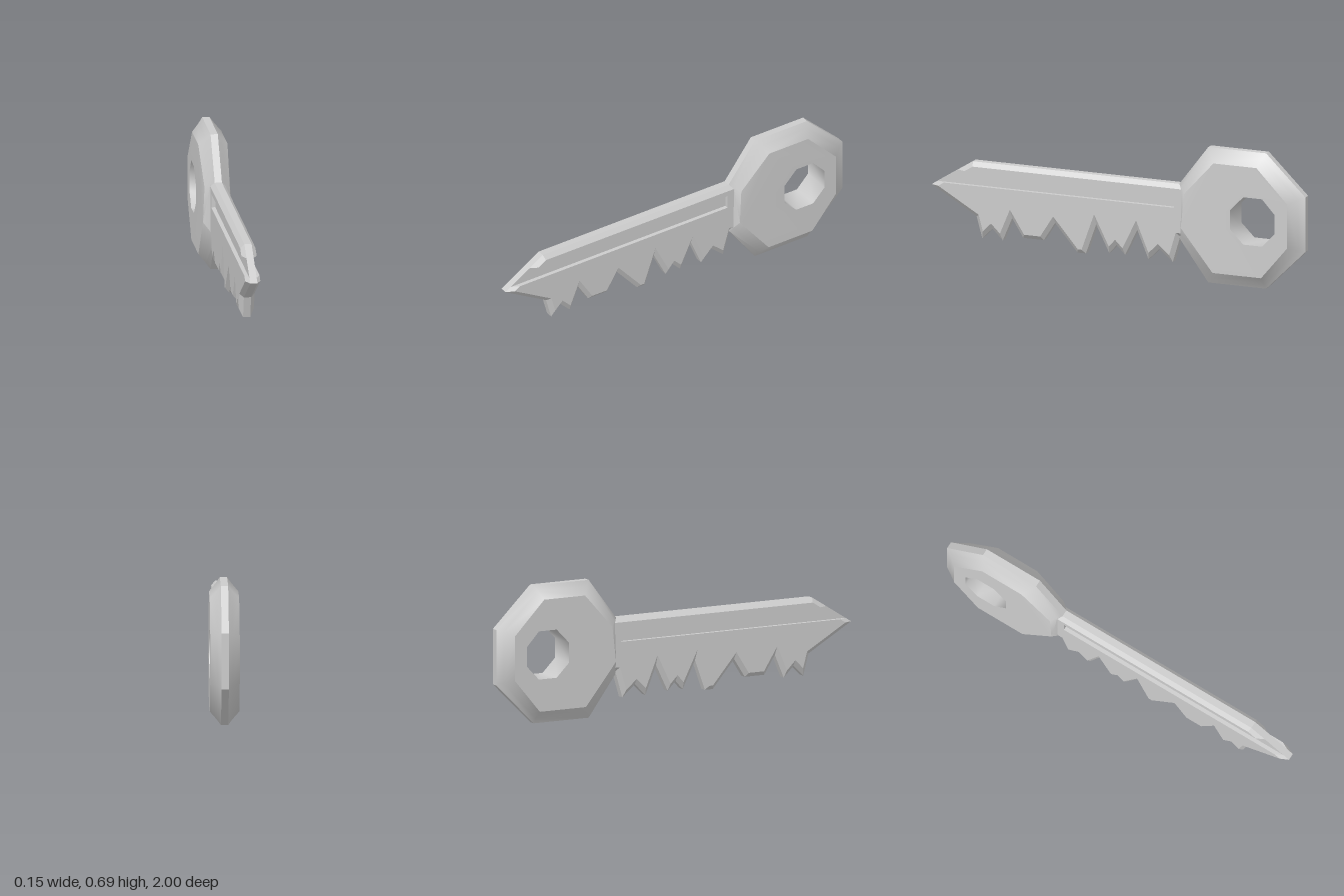
import * as THREE from 'three';
import { toCreasedNormals } from 'three/addons/utils/BufferGeometryUtils.js';

// Drawn in a local XY plane (x runs from tip to head), thickness along local z.
const CORE = 0.018, BLADE = 0.038, HEAD = 0.073, BEVEL = 0.022;

const ring = (pts, z) => pts.map(([x, y, pz]) => new THREE.Vector3(x, y, pz ?? z));

// Band of triangles joining successive counter-clockwise rings, low z to high z
function loft(rings) {
  const tris = [];
  for (let r = 0; r + 1 < rings.length; r++) {
    const lo = rings[r], hi = rings[r + 1];
    lo.forEach((a, i) => {
      const j = (i + 1) % lo.length;
      tris.push([a, lo[j], hi[j]], [a, hi[j], hi[i]]);
    });
  }
  return tris;
}

// Flat lid over a counter-clockwise ring, with optional holes
function lid(outer, holes = []) {
  const flat = (r) => r.map((p) => new THREE.Vector2(p.x, p.y));
  const all = [outer, ...holes].flat();
  return THREE.ShapeUtils.triangulateShape(flat(outer), holes.map(flat))
    .map((t) => t.map((i) => all[i]));
}

// Same triangles on the other side of the key
const mirror = (tris) => tris.map(([a, b, c]) =>
  [a, c, b].map((p) => new THREE.Vector3(p.x, p.y, -p.z)));

// Move every edge inward by its own distance and re-intersect neighbours
function inset(pts, dist) {
  const n = pts.length;
  const normals = pts.map(([x, y], i) => {
    const [u, v] = pts[(i + 1) % n], l = Math.hypot(u - x, v - y);
    return [-(v - y) / l, (u - x) / l];
  });
  return pts.map(([x, y], i) => {
    const k = (i + n - 1) % n;
    const [ax, ay] = normals[k], [bx, by] = normals[i];
    const det = ax * by - ay * bx;
    return [x + (dist[k] * by - dist[i] * ay) / det, y + (ax * dist[i] - bx * dist[k]) / det];
  });
}

function mesh(name, tris, crease) {
  let geo = new THREE.BufferGeometry().setFromPoints(tris.flat());
  geo.computeVertexNormals();
  if (crease) geo = toCreasedNormals(geo, crease);
  const m = new THREE.Mesh(geo, new THREE.MeshStandardMaterial({ color: 0xcccccc }));
  m.name = name;
  return m;
}

export function createModel() {
  const key = new THREE.Group();
  key.name = 'key';
  const body = new THREE.Group();
  body.name = 'keyBody';
  body.rotation.y = Math.PI / 2;
  key.add(body);

  // Blade outline: tip, cut teeth, end buried in the head, top edge
  const lower = [
    [-1, 0.35], [-0.76, 0.21], [-0.73, 0.10], [-0.675, 0.155], [-0.62, 0.10],
    [-0.57, 0.22], [-0.51, 0.125], [-0.40, 0.125], [-0.34, 0.22], [-0.22, 0.08],
    [-0.175, 0.08], [-0.12, 0.235], [-0.05, 0.095], [-0.01, 0.14], [0.035, 0.095],
    [0.10, 0.23], [0.16, 0.085], [0.22, 0.145], [0.29, 0.085], [0.33, 0.22], [0.4, 0.22],
  ];
  const upper = [[0.4, 0.49], [-0.78, 0.49]];

  // Core slab, whose faces are the groove floors
  const outline = [...lower, ...upper];
  const coreTop = ring(outline, CORE);
  const coreLid = lid(coreTop);
  body.add(mesh('bladeCore', [
    ...loft([ring(outline, -CORE), coreTop]), ...coreLid, ...mirror(coreLid)]));

  // Bevelled side plates, notched by a groove that runs out at the tip
  const groove = [[-0.8586, 0.44], [0.305, 0.44], [0.305, 0.37], [-0.9686, 0.37]];
  const plate = [...outline, ...groove];
  const endEdge = lower.length - 1, grooveEdge = outline.length;
  const dist = plate.map((_, i) =>
    (i === endEdge || (i >= grooveEdge && i < grooveEdge + 3) ? 0 : BEVEL));
  const plateTop = ring(inset(plate, dist), BLADE);
  const side = [...loft([ring(plate, CORE), plateTop]), ...lid(plateTop)];
  body.add(mesh('bladeLeftPlate', side), mesh('bladeRightPlate', mirror(side)));

  // Octagonal head: rim, two-step bevel and flat faces
  const rim = [[0.48, 0], [0.79, 0], [1, 0.21], [1, 0.49],
    [0.79, 0.695], [0.48, 0.695], [0.325, 0.49], [0.33, 0.205]];
  const face = [[0.525, 0.067], [0.785, 0.067], [0.925, 0.235], [0.925, 0.46],
    [0.76, 0.63], [0.53, 0.63], [0.37, 0.455, 0.063], [0.355, 0.28]];
  const mid = rim.map(([x, y], i) =>
    [x + (face[i][0] - x) * 0.4, y + (face[i][1] - y) * 0.4]);
  const hole = [[0.69, 0.23], [0.79, 0.23], [0.857, 0.30], [0.857, 0.40],
    [0.79, 0.473], [0.69, 0.473], [0.62, 0.40], [0.62, 0.30]].reverse();
  const faceRing = ring(face, HEAD);
  const bevel = loft([ring(rim, CORE), ring(mid, BLADE), faceRing]);
  const faceLid = lid(faceRing, [ring(hole, HEAD)]);
  body.add(
    mesh('headRim', loft([ring(rim, -CORE), ring(rim, CORE)])),
    mesh('headLeftBevel', bevel, 0.65),
    mesh('headRightBevel', mirror(bevel), 0.65),
    mesh('headLeftFace', faceLid, 0.5),
    mesh('headRightFace', mirror(faceLid), 0.5),
    mesh('keyringHole', loft([ring(hole, -HEAD), ring(hole, HEAD)]), 1),
  );
  return key;
}
